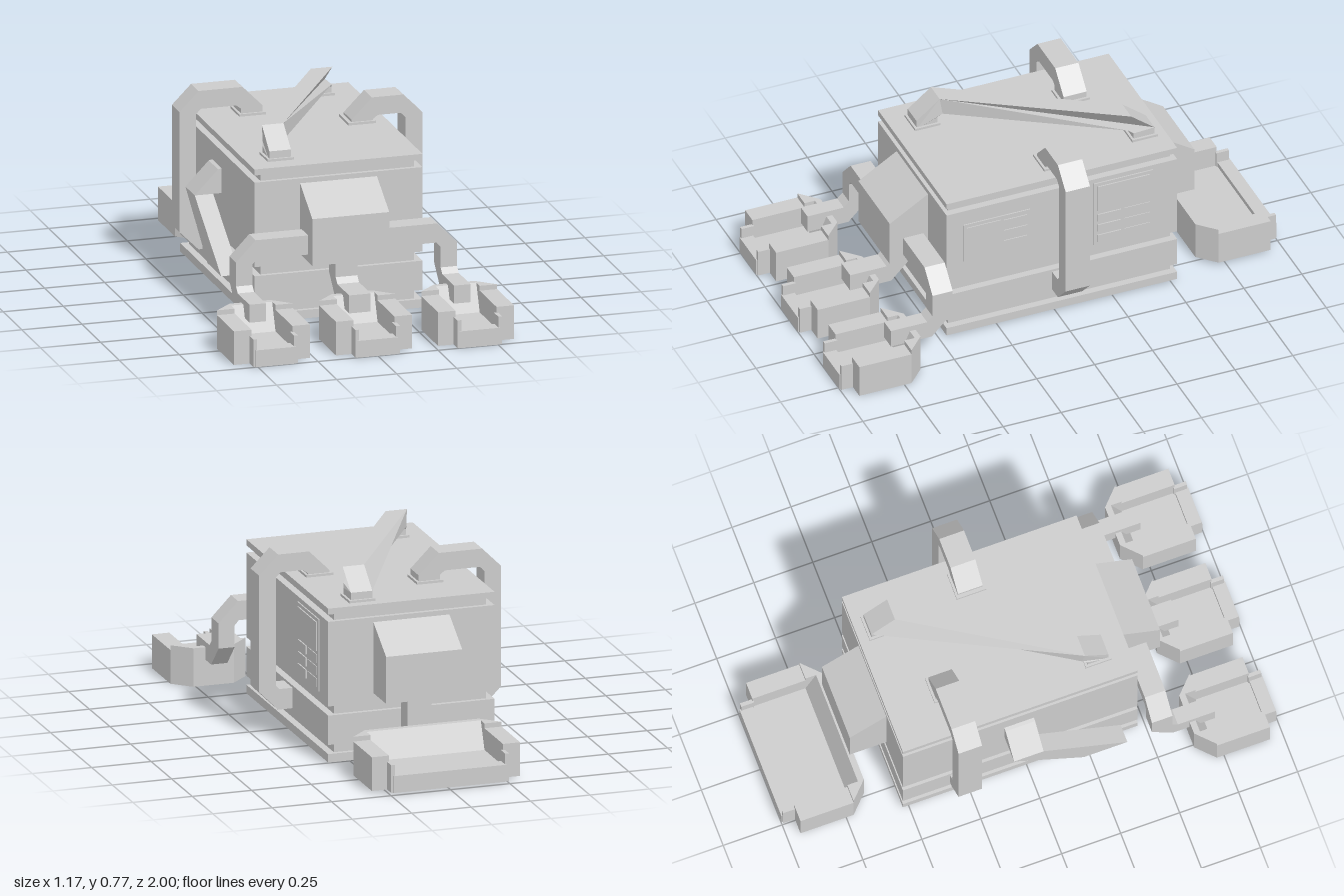
import * as THREE from 'three';

const mat = new THREE.MeshStandardMaterial({ color: 0xcccccc, flatShading: true });

function add(parent, name, geo) {
  const m = new THREE.Mesh(geo, mat);
  m.name = name;
  parent.add(m);
  return m;
}

// Box given by its limits on each axis
function box(parent, name, x0, x1, y0, y1, z0, z1) {
  const m = add(parent, name, new THREE.BoxGeometry(x1 - x0, y1 - y0, z1 - z0));
  m.position.set((x0 + x1) / 2, (y0 + y1) / 2, (z0 + z1) / 2);
  return m;
}

function extrude(pts, depth) {
  const shape = new THREE.Shape(pts.map(p => new THREE.Vector2(p[0], p[1])));
  return new THREE.ExtrudeGeometry(shape, { depth, bevelEnabled: false });
}

// Outline in (x, y), spanning z0..z1
const sideways = (pts, z0, z1) => extrude(pts, z1 - z0).translate(0, 0, z0);
// Outline in (z, y), spanning x0..x1
const lengthways = (pts, x0, x1) => extrude(pts, x1 - x0).rotateY(-Math.PI / 2).translate(x1, 0, 0);
// Outline in (x, z), standing from 0 to h
const plan = (pts, h) => extrude(pts, h).rotateX(Math.PI / 2).translate(0, h, 0);

// Open tray: hw = half width, iw = half width of the hollow
function makeTray(name, hw, iw) {
  const g = new THREE.Group();
  g.name = name;
  add(g, 'trayFloor', plan([[-iw, 0], [iw, 0], [hw, 0.07], [hw, 0.295], [-hw, 0.295], [-hw, 0.07]], 0.05));
  add(g, 'trayRearWall', lengthways([[0, 0], [0.07, 0], [0.07, 0.05], [0.025, 0.16], [0, 0.16]], -iw, iw));
  box(g, 'trayLip', -iw, iw, 0, 0.07, 0.295, 0.35);
  for (const s of [-1, 1]) {
    add(g, 'trayCorner', plan([[s * iw, 0], [s * hw, 0.07], [s * iw, 0.07]], 0.16));
    const a = s * iw, b = s * hw;
    box(g, 'traySideWall', Math.min(a, b), Math.max(a, b), 0, 0.14, 0.07, 0.295);
    box(g, 'trayLipPost', s * iw - 0.008, s * iw + 0.008, 0, 0.115, 0.29, 0.345);
  }
  return g;
}

export function createModel() {
  const model = new THREE.Group();
  model.name = 'machine';

  // Stacked body: wide layers separated by recessed seams
  [
    ['basePlate', 0.01, 0.045, 0], ['baseSeam', 0.045, 0.083, 1], ['lowerBand', 0.083, 0.205, 0],
    ['lowerSeam', 0.205, 0.243, 1], ['mainBody', 0.243, 0.595, 0], ['upperSeam', 0.595, 0.625, 1],
    ['topPlate', 0.625, 0.65, 0],
  ].forEach(([name, y0, y1, seam]) => {
    const x = seam ? 0.32 : 0.35, dz = seam ? 0.018 : 0;
    box(model, name, -x, x, y0, y1, -0.525 + dz, 0.47 - dz);
  });

  // Hoppers on both ends
  const hopper = (z0, z1) => [[z0, 0.28], [z1, 0.28], [z1, 0.475], [z0, 0.575]];
  add(model, 'frontHopper', lengthways(hopper(0.47, 0.635), -0.16, 0.16));
  add(model, 'rearHopper', lengthways(hopper(-0.525, -0.68).reverse(), -0.16, 0.16));

  // Trays
  for (const x of [-0.425, 0, 0.425]) {
    const t = makeTray('frontTray', 0.158, 0.085);
    t.position.set(x, 0, 0.65);
    model.add(t);
  }
  const rear = makeTray('rearTray', 0.312, 0.24);
  rear.position.set(0, 0.01, -0.65);
  rear.rotation.y = Math.PI;
  model.add(rear);

  // Spouts that drop and turn forward into the front trays
  const spout = top => [[0.49, top], [0.49, 0.2], [0.58, 0.108], [0.757, 0.108], [0.757, 0.183],
    [0.6, 0.183], [0.577, 0.205], [0.577, top]];
  add(model, 'frontSpout', lengthways(spout(0.29), -0.045, 0.045));
  for (const s of [-1, 1]) {
    // Arm leaving the side of the hopper and bending down
    add(model, 'frontArm', sideways([[0.15, 0.31], [0.375, 0.31], [0.392, 0.29], [0.392, 0.25], [0.46, 0.25],
      [0.46, 0.305], [0.378, 0.39], [0.15, 0.39]].map(p => [p[0] * s, p[1]]), 0.49, 0.577));
    add(model, 'sideSpout', lengthways(spout(0.25), s * 0.426 - 0.034, s * 0.426 + 0.034));
  }
  add(model, 'rearSpout', lengthways([[-0.54, 0.29], [-0.54, 0.1], [-0.64, 0.015], [-0.67, 0.015],
    [-0.67, 0.09], [-0.622, 0.09], [-0.622, 0.29]], -0.05, 0.05));

  // Diagonal pipe over the top: the bent outline is sheared sideways along its length
  const diagonal = lengthways([[0.38, 0.65], [0.38, 0.69], [0.28, 0.77], [-0.375, 0.77], [-0.475, 0.69],
    [-0.475, 0.65], [-0.385, 0.65], [-0.385, 0.685], [-0.365, 0.7], [0.27, 0.7], [0.29, 0.685], [0.29, 0.65]],
    -0.045, 0.045);
  const pos = diagonal.attributes.position;
  for (let i = 0; i < pos.count; i++) {
    const t = THREE.MathUtils.clamp((0.28 - pos.getZ(i)) / 0.655, 0, 1);
    pos.setX(i, pos.getX(i) + THREE.MathUtils.lerp(-0.215, 0.192, t));
  }
  diagonal.computeVertexNormals();
  add(model, 'diagonalPipe', diagonal);
  box(model, 'pipeFoot', -0.27, -0.16, 0.65, 0.66, 0.28, 0.39);
  box(model, 'pipeFoot', 0.137, 0.247, 0.65, 0.66, -0.485, -0.375);

  // Pipes from the roof down each side and back into the lower band
  const sidePipe = (s, a, b, h) => [[a, 0.65], [a, h - 0.085], [a + 0.085, h], [b - 0.08, h], [b, h - 0.08],
    [b, 0.19], [b - 0.08, 0.11], [0.34, 0.11], [0.34, 0.195], [b - 0.085, 0.195], [b - 0.07, 0.21],
    [b - 0.07, h - 0.095], [b - 0.09, h - 0.075], [a + 0.11, h - 0.075], [a + 0.09, h - 0.09], [a + 0.09, 0.65],
  ].map(p => [p[0] * s, p[1]]);
  add(model, 'leftPipe', sideways(sidePipe(1, 0.195, 0.49, 0.755), -0.09, 0.015));
  box(model, 'pipeFoot', 0.18, 0.295, 0.65, 0.66, -0.1, 0.025);
  add(model, 'rightPipe', sideways(sidePipe(-1, 0.1, 0.447, 0.77), -0.325, -0.225));
  box(model, 'pipeFoot', -0.2, -0.09, 0.65, 0.66, -0.335, -0.215);

  // Chute on the right side: a sloping outlet and a run slanting down to the front
  add(model, 'chuteOutlet', sideways([[-0.34, 0.525], [-0.365, 0.52], [-0.462, 0.42], [-0.34, 0.42]], -0.095, 0.03));
  add(model, 'sideChute', lengthways([[-0.095, 0.42], [0.2, 0.19], [0.385, 0.19], [0.03, 0.42]], -0.462, -0.385));

  // Control panels on the left side
  const tile = (z0, z1, y0, y1, d) => box(model, 'panelTile', 0.345, 0.35 + d, y0, y1, z0, z1);
  tile(0.11, 0.4, 0.355, 0.53, 0.005);
  tile(0.24, 0.385, 0.37, 0.515, 0.009);
  for (const y of [0.37, 0.42, 0.47]) tile(0.125, 0.225, y, y + 0.04, 0.009);
  tile(-0.42, -0.165, 0.275, 0.575, 0.005);
  tile(-0.405, -0.18, 0.44, 0.56, 0.01);
  for (const y of [0.29, 0.34, 0.39]) {
    tile(-0.28, -0.18, y, y + 0.035, 0.01);
    tile(-0.405, -0.295, y, y + 0.035, 0.008);
  }
  return model;
}
